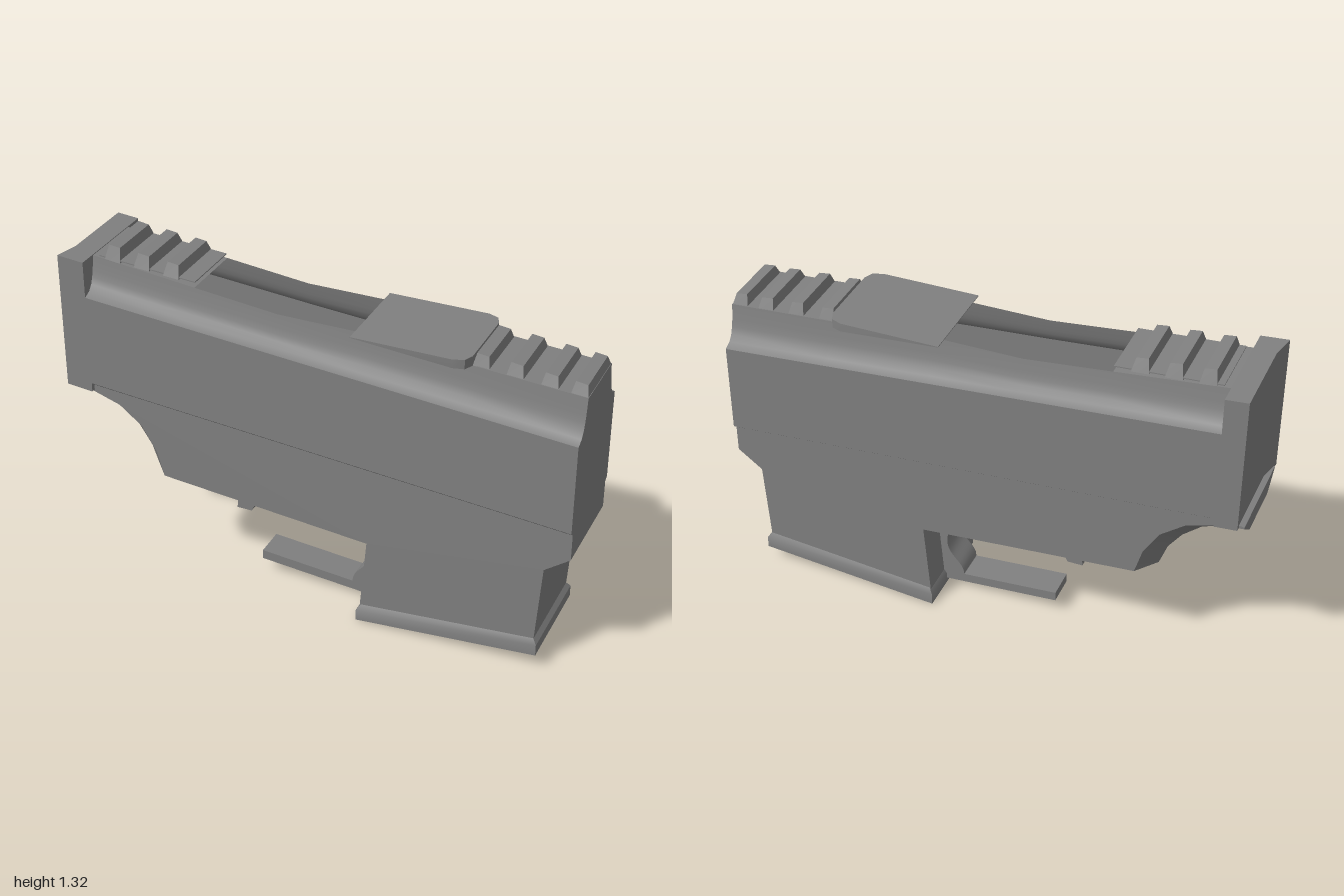
import * as THREE from 'three';
import { toCreasedNormals } from 'three/addons/utils/BufferGeometryUtils.js';

const V = (x, y, z) => new THREE.Vector3(x, y, z);

// Skin a row of rings; rings run counter-clockwise about the axis they advance along
function skin(rings, { closed = true, caps = '', axis = 'z' } = {}) {
  const out = [];
  const tri = (...pts) => pts.forEach((p) => out.push(p.x, p.y, p.z));
  const n = rings[0].length;
  for (let i = 0; i < rings.length - 1; i++) {
    for (let j = 0; j < (closed ? n : n - 1); j++) {
      const k = (j + 1) % n;
      const [a, b, c, d] = [rings[i][j], rings[i][k], rings[i + 1][k], rings[i + 1][j]];
      tri(a, b, c);
      tri(a, c, d);
    }
  }
  const [u, v] = { x: ['y', 'z'], y: ['z', 'x'], z: ['x', 'y'] }[axis];
  const cap = (ring, flip) => {
    const flat = ring.map((p) => new THREE.Vector2(p[u], p[v]));
    for (const [a, b, c] of THREE.ShapeUtils.triangulateShape(flat, [])) {
      if (flip) tri(ring[a], ring[c], ring[b]);
      else tri(ring[a], ring[b], ring[c]);
    }
  };
  if (caps.includes('s')) cap(rings[0], true);
  if (caps.includes('e')) cap(rings[rings.length - 1], false);
  const geo = new THREE.BufferGeometry();
  geo.setAttribute('position', new THREE.Float32BufferAttribute(out, 3));
  geo.computeVertexNormals();
  return toCreasedNormals(geo, 0.6);
}

// Four-cornered ring lying roughly level, with its own height at each end
const level = (x0, x1, y0, y1, z) => [V(x0, y0, -z), V(x0, y0, z), V(x1, y1, z), V(x1, y1, -z)];

// Piecewise height of the top edge
const TOP = [[-0.9, 1.28], [-0.48, 1.235], [-0.15, 1.2], [0.19, 1.2], [0.6, 1.165], [1, 1.137]];
// Hollowed shoulder: half width against share of the shoulder height
const COVE = [[0.13, 1], [0.14, 0.6], [0.147, 0.42], [0.157, 0.24], [0.175, 0.09], [0.205, 0]];

export function createModel() {
  const model = new THREE.Group();
  const metal = new THREE.MeshStandardMaterial({ color: 0x808080, side: THREE.DoubleSide });
  metal.name = 'grey metal';
  const add = (name, geo) => {
    const mesh = new THREE.Mesh(geo, metal);
    mesh.name = name;
    model.add(mesh);
    return mesh;
  };

  // Upper shell, open along the top
  const section = ([x, top]) => {
    const bottom = 0.697 - 0.0777 * x;
    const shoulder = 1.067 - 0.0816 * x;
    const half = [
      ...COVE.map(([z, f]) => [z, shoulder + (top - shoulder) * f]),
      [0.205, bottom + 0.012], [0.187, bottom - 0.003],
    ];
    return [
      ...half.map(([z, y]) => V(x, y, z)),
      ...half.slice().reverse().map(([z, y]) => V(x, y, -z)),
    ];
  };
  add('upperShell', skin(TOP.map(section), { closed: false, caps: 'se', axis: 'x' }));

  // Closed parts of the top under the two rails
  for (const [a, b] of [[0, 1], [4, 5]]) {
    const edge = ([x, y]) => [V(x, y, -0.13), V(x, y, 0.13)];
    add('topPanel', skin([edge(TOP[a]), edge(TOP[b])], { closed: false }));
  }

  // Full-width end block with a lip on one side
  const blockRing = (y) => [
    [-0.98, -0.205], [-0.98, 0.11], [-1, 0.205], [-0.895, 0.205], [-0.895, -0.205],
  ].map(([x, z]) => V(x, y - 0.09 * (x + 1), z));
  add('endBlock', skin([blockRing(0.752), blockRing(1.292)], { caps: 'se', axis: 'y' }));

  // Lower body with the magazine, its curved grip cut chamfered on both sides
  const innerCut = [[-1, 0.69], [-0.92, 0.683], [-0.83, 0.65], [-0.76, 0.59], [-0.71, 0.52], [-0.68, 0.435]];
  const outerCut = [[-1, 0.75], [-0.92, 0.742], [-0.79, 0.7], [-0.7, 0.63], [-0.64, 0.53], [-0.612, 0.43]];
  const rest = [
    [0.225, 0.356], [0.2, 0.06], [0.885, 0.12], [0.905, 0.44], [1, 0.51], [1, 0.62],
    [-0.93, 0.77], [-1, 0.757],
  ];
  const layer = (cut, z) => [...cut, ...rest].map(([x, y]) => V(x, y, z));
  add('lowerBody', skin([
    layer(outerCut, -0.187), layer(innerCut, -0.11), layer(innerCut, 0.11), layer(outerCut, 0.187),
  ], { caps: 'se', axis: 'z' }));

  // Flared magazine base
  add('magazineBase', skin([
    level(0.19, 0.9, 0.005, 0.065, 0.2),
    level(0.19, 0.9, 0.05, 0.11, 0.2),
    level(0.205, 0.885, 0.072, 0.13, 0.187),
  ], { caps: 'se', axis: 'y' }));

  // Trigger stub and guard bar
  const guard = new THREE.Shape();
  guard.moveTo(-0.37, 0.275);
  guard.lineTo(-0.31, 0.275);
  guard.bezierCurveTo(-0.28, 0.34, -0.25, 0.375, -0.19, 0.375);
  guard.lineTo(0.06, 0.355);
  guard.bezierCurveTo(0.14, 0.35, 0.185, 0.29, 0.185, 0.21);
  guard.bezierCurveTo(0.18, 0.14, 0.115, 0.13, 0.115, 0.07);
  guard.lineTo(-0.265, 0.102);
  guard.lineTo(-0.265, 0.064);
  guard.lineTo(0.21, 0.025);
  guard.lineTo(0.235, 0.36);
  guard.lineTo(-0.36, 0.41);
  const guardGeo = new THREE.ExtrudeGeometry(guard, { depth: 0.12, bevelEnabled: false, curveSegments: 8 });
  guardGeo.translate(0, 0, -0.06);
  add('triggerGuard', toCreasedNormals(guardGeo, 0.6));

  // Wedge-shaped cover plate over the opening
  const plate = [
    [0.15, -0.18], [0.15, 0.18], [0.53, 0.18], [0.57, 0.165], [0.585, 0.13],
    [0.585, -0.13], [0.57, -0.165], [0.53, -0.18],
  ];
  add('coverPlate', skin([
    plate.map(([x, z]) => V(x, 1.199 - 0.08 * (x - 0.15), z)),
    plate.map(([x, z]) => V(x, 1.202, z)),
  ], { caps: 'se', axis: 'y' }));

  // Thin strip under the rear rail
  add('rearRailStrip', skin([
    level(-0.87, -0.48, 1.279, 1.252, 0.125),
    level(-0.87, -0.48, 1.283, 1.256, 0.125),
  ], { caps: 'se', axis: 'y' }));

  // Rail teeth: centre, base height, top height
  const teeth = [
    [-0.815, 1.272, 1.325], [-0.695, 1.265, 1.315], [-0.575, 1.257, 1.305],
    [0.615, 1.155, 1.206], [0.738, 1.15, 1.199], [0.862, 1.142, 1.188], [0.968, 1.134, 1.18],
  ];
  for (const [x, y0, y1] of teeth) {
    add('railTooth', skin([
      level(x - 0.032, x + 0.032, y0, y0 - 0.004, 0.13),
      level(x - 0.022, x + 0.022, y1, y1 - 0.006, 0.108),
    ], { caps: 'se', axis: 'y' }));
  }
  return model;
}
